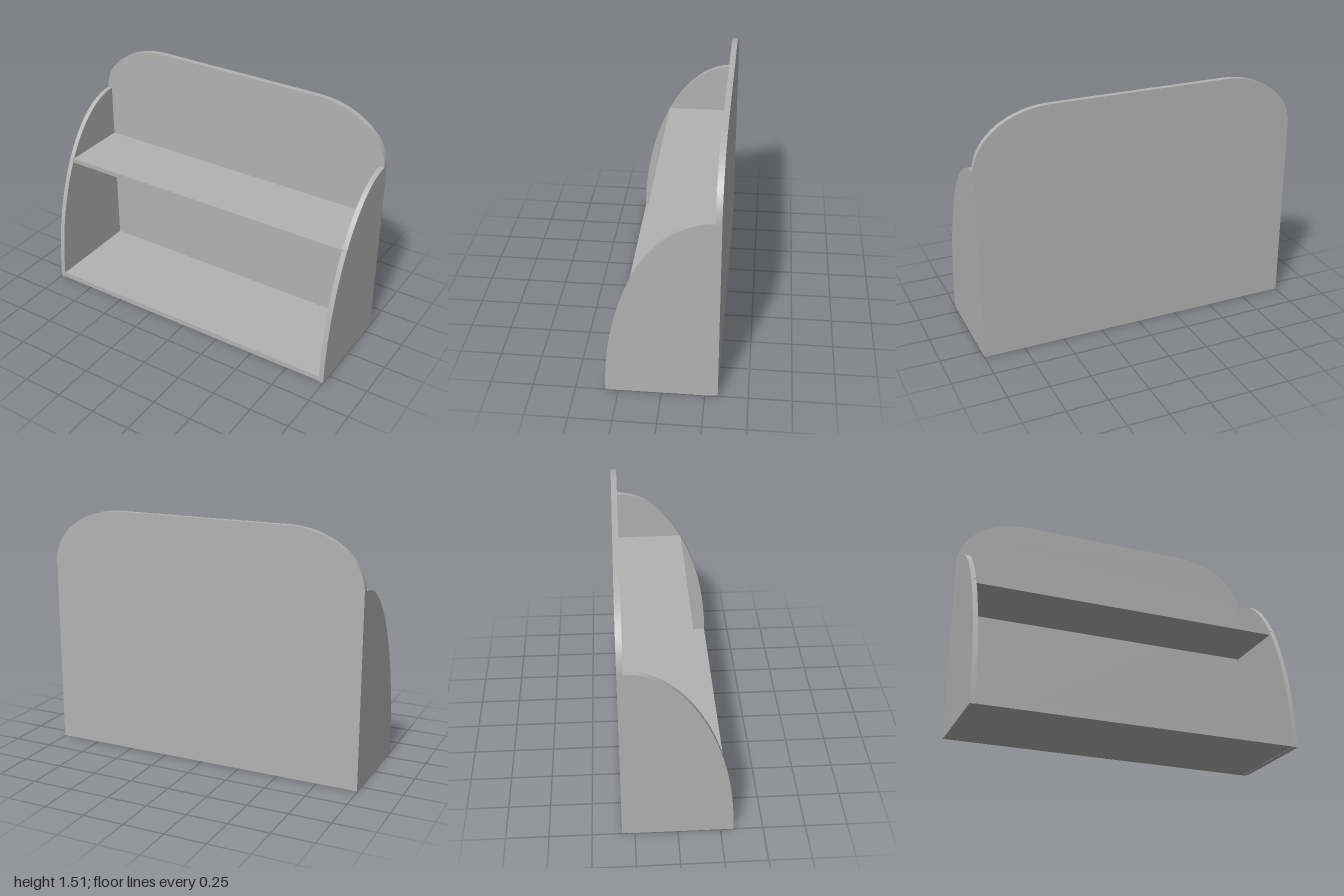
import * as THREE from 'three';
import { toCreasedNormals } from 'three/addons/utils/BufferGeometryUtils.js';

const W = 1, BACK = -0.325, JOIN = -0.29, FRONT = 0.325, T = 0.03;

export function createModel() {
  const model = new THREE.Group();
  const grey = new THREE.MeshStandardMaterial({ color: 0xb2b2b2 });
  grey.name = 'grey board';

  const add = (name, geometry, x = 0, y = 0, z = 0) => {
    const mesh = new THREE.Mesh(geometry, grey);
    mesh.name = name;
    mesh.position.set(x, y, z);
    model.add(mesh);
    return mesh;
  };
  const slab = (shape, depth) => toCreasedNormals(
    new THREE.ExtrudeGeometry(shape, { depth, bevelEnabled: false, curveSegments: 40 }), 0.5);

  // Back panel with elliptical upper corners
  const back = new THREE.Shape();
  back.moveTo(-W, 0.005);
  back.lineTo(W, 0.005);
  back.lineTo(W, 1.17);
  back.absellipse(W - 0.46, 1.17, 0.46, 0.34, 0, Math.PI / 2, false);
  back.absellipse(-W + 0.46, 1.17, 0.46, 0.34, Math.PI / 2, Math.PI, false);
  back.closePath();
  add('backPanel', slab(back, JOIN - BACK), 0, 0, BACK);

  // Quarter-ellipse side panels, drawn with shape x running to the front
  const side = new THREE.Shape();
  side.moveTo(JOIN, 0);
  side.lineTo(FRONT, 0);
  side.absellipse(JOIN, 0, FRONT - JOIN, 1.175, 0, Math.PI / 2, false);
  side.closePath();
  const sideGeometry = slab(side, T).rotateY(-Math.PI / 2);
  add('leftSide', sideGeometry, W);
  add('rightSide', sideGeometry, -W + T);

  // Boards let into the side panels
  const board = (name, y0, y1, z1) => add(name,
    new THREE.BoxGeometry(2 * W - T, y1 - y0, z1 - JOIN), 0, (y0 + y1) / 2, (z1 + JOIN) / 2);
  board('bottomBoard', 0.002, 0.036, 0.324);
  board('shelf', 0.81, 0.84, 0.144);

  return model;
}
